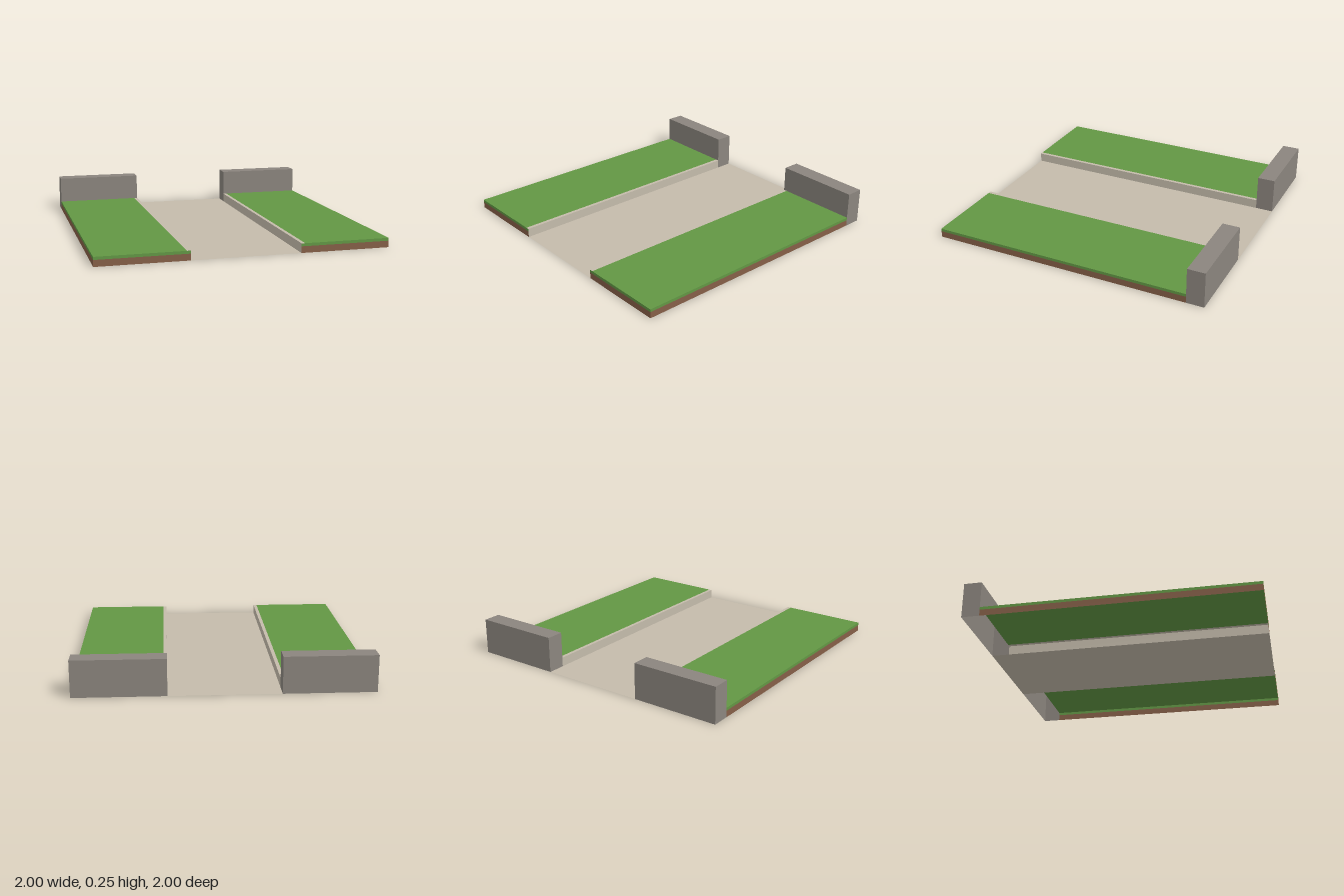
import * as THREE from 'three';

const paint = (name, color) => {
  const m = new THREE.MeshStandardMaterial({ color, side: THREE.DoubleSide });
  m.name = name;
  return m;
};

export function createModel() {
  const sand = paint('sand', 0xc4bbab);
  const grass = paint('grass', 0x629744);
  const soil = paint('soil', 0x855f47);
  const stone = paint('stone', 0x8b857e);

  const INNER = 0.375, CURB = 0.4, TOP = 0.065, SOIL = 0.045;
  const WALL_H = 0.253, WALL_Z = -0.875;
  const model = new THREE.Group();
  model.name = 'gardenPath';

  // Open sheets, each lying across one axis
  const sheet = (parent, name, mat, w, h, pos, axis) => {
    const g = new THREE.PlaneGeometry(w, h);
    if (axis === 'y') g.rotateX(-Math.PI / 2);
    if (axis === 'x') g.rotateY(Math.PI / 2 * (Math.sign(pos[0]) || 1));
    const mesh = new THREE.Mesh(g, mat);
    mesh.name = name;
    mesh.position.set(...pos);
    parent.add(mesh);
  };

  // Path floor
  sheet(model, 'pathFloor', sand, INNER * 2, 2, [0, 0, 0], 'y');

  for (const s of [1, -1]) {
    const side = new THREE.Group();
    side.name = s > 0 ? 'leftSide' : 'rightSide';
    model.add(side);

    const len = 1 - WALL_Z, midZ = (1 + WALL_Z) / 2;
    const width = 1 - INNER, midX = s * (1 + INNER) / 2;

    // Lawn surface and path curb
    sheet(side, 'lawn', grass, 1 - CURB, len, [s * (1 + CURB) / 2, TOP, midZ], 'y');
    sheet(side, 'curbTop', sand, CURB - INNER, len, [s * (CURB + INNER) / 2, TOP, midZ], 'y');
    sheet(side, 'curbFace', sand, len, TOP, [s * INNER, TOP / 2, midZ], 'x');

    // Outer and front edges: soil below, turf above
    for (const [name, mat, y0, y1] of [['soil', soil, 0, SOIL], ['turf', grass, SOIL, TOP]]) {
      const y = (y0 + y1) / 2, h = y1 - y0;
      sheet(side, name + 'OuterEdge', mat, len, h, [s, y, midZ], 'x');
      sheet(side, name + 'FrontEdge', mat, width, h, [midX, y, 1], 'z');
    }

    // Stone wall, open underneath
    const depth = WALL_Z + 1, wallZ = (WALL_Z - 1) / 2;
    sheet(side, 'wallTop', stone, width, depth, [midX, WALL_H, wallZ], 'y');
    sheet(side, 'wallFront', stone, width, WALL_H - TOP, [midX, (WALL_H + TOP) / 2, WALL_Z], 'z');
    sheet(side, 'wallBack', stone, width, WALL_H, [midX, WALL_H / 2, -1], 'z');
    sheet(side, 'wallInnerEnd', stone, depth, WALL_H, [s * INNER, WALL_H / 2, wallZ], 'x');
    sheet(side, 'wallOuterEnd', stone, depth, WALL_H, [s, WALL_H / 2, wallZ], 'x');
  }
  return model;
}
